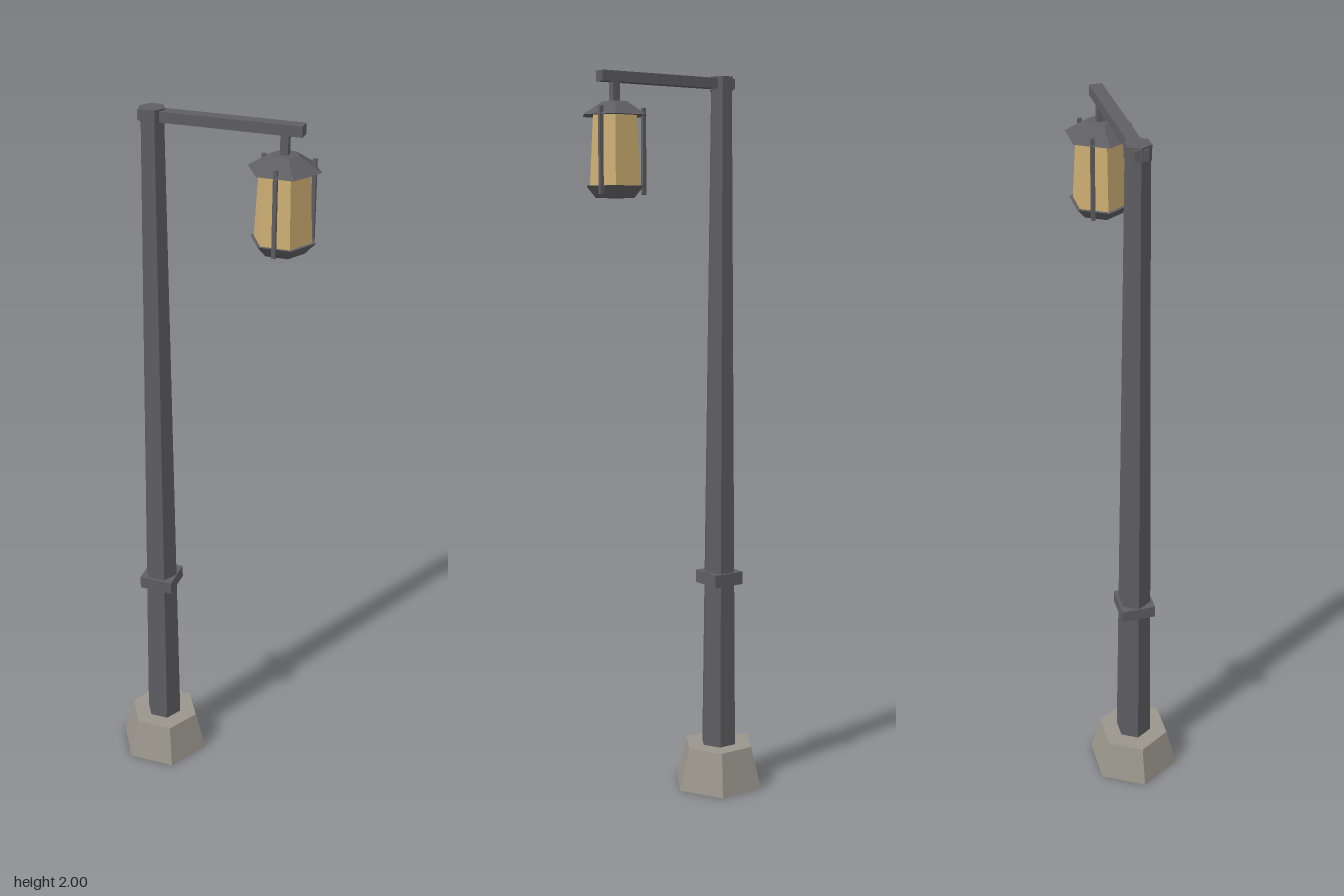
import * as THREE from 'three';

export function createModel() {
  const material = (name, color) => {
    const m = new THREE.MeshStandardMaterial({ color, flatShading: true });
    m.name = name;
    return m;
  };
  const stone = material('stone', 0x9a968d);
  const metal = material('dark metal', 0x5f5f63);
  const glass = material('amber glass', 0xcfb074);

  const add = (parent, name, geometry, mat, x, y, z) => {
    const mesh = new THREE.Mesh(geometry, mat);
    mesh.name = name;
    mesh.position.set(x, y, z);
    parent.add(mesh);
  };
  // Six-sided taper between two heights, with corners on the x axis
  const hex = (parent, name, rTop, rBottom, y0, y1, mat) => {
    const g = new THREE.CylinderGeometry(rTop, rBottom, y1 - y0, 6).rotateY(Math.PI / 6);
    add(parent, name, g, mat, 0, (y0 + y1) / 2, 0);
  };
  const box = (parent, name, w, y0, y1, d, x = 0, z = 0) =>
    add(parent, name, new THREE.BoxGeometry(w, y1 - y0, d), metal, x, (y0 + y1) / 2, z);

  const model = new THREE.Group();
  model.name = 'streetLamp';

  // Post: stone foot, tapered pole, square collar, cap and arm
  const post = new THREE.Group();
  post.name = 'post';
  post.position.x = -0.151;
  model.add(post);
  hex(post, 'foot', 0.103, 0.134, 0, 0.12, stone);
  hex(post, 'pole', 0.031, 0.052, 0.12, 1.98, metal);
  box(post, 'collar', 0.095, 0.592, 0.628, 0.095);
  hex(post, 'cap', 0.034, 0.034, 1.962, 2, metal);
  box(post, 'arm', 0.42, 1.968, 1.995, 0.034, 0.177);

  // Lantern hanging from the end of the arm
  const lantern = new THREE.Group();
  lantern.name = 'lantern';
  lantern.position.x = 0.19;
  model.add(lantern);
  box(lantern, 'hanger', 0.02, 1.91, 1.97, 0.02);
  hex(lantern, 'roof', 0.036, 0.094, 1.882, 1.918, metal);
  hex(lantern, 'glass', 0.065, 0.076, 1.695, 1.885, glass);
  hex(lantern, 'tray', 0.085, 0.058, 1.672, 1.702, metal);

  // Three upright rods spaced evenly around the glass
  for (let i = 0; i < 3; i++) {
    const a = (i * Math.PI * 2) / 3;
    box(lantern, 'rod', 0.01, 1.68, 1.902, 0.01, 0.075 * Math.sin(a), 0.075 * Math.cos(a));
  }
  return model;
}
